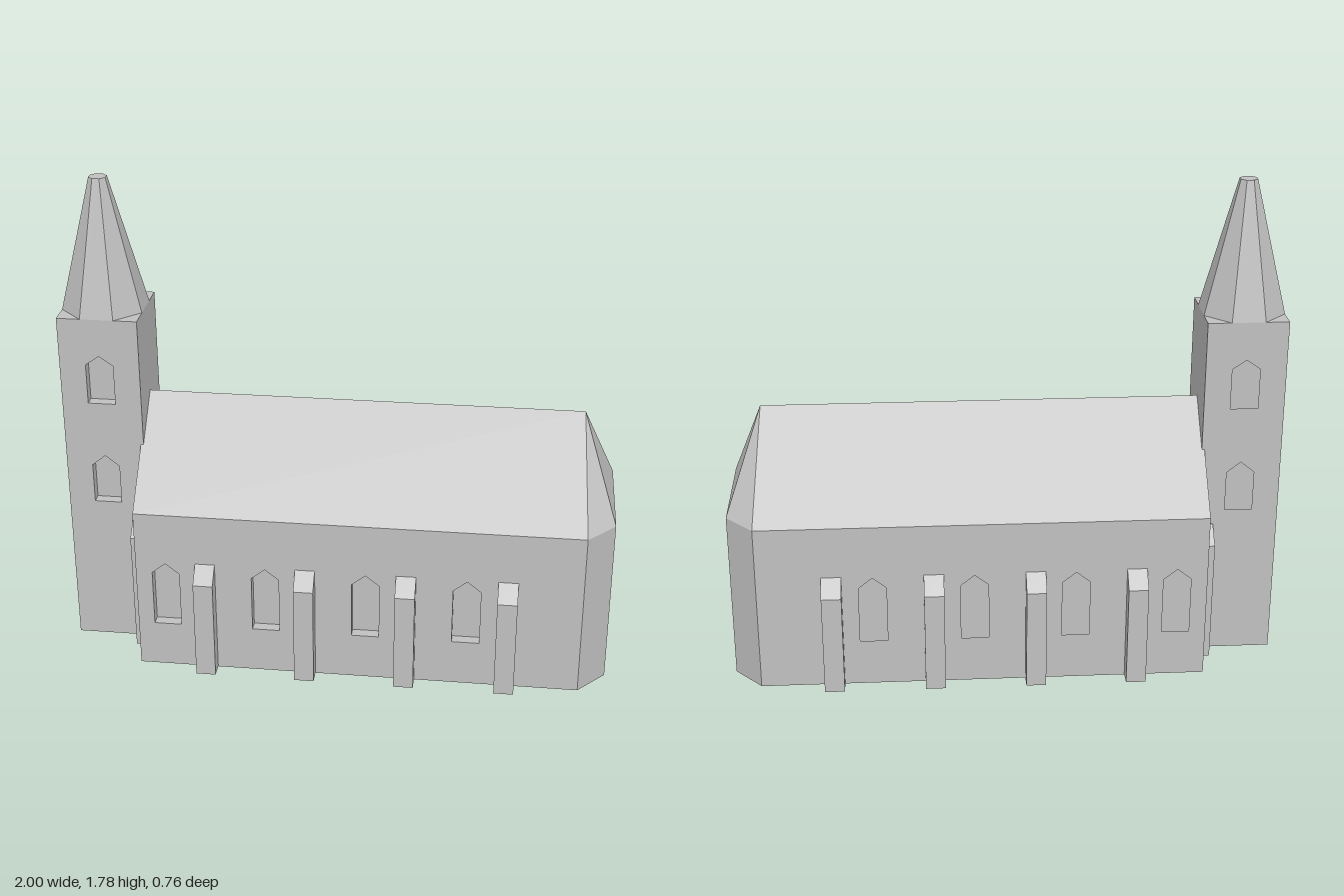
import * as THREE from 'three';
import { ConvexGeometry } from 'three/addons/geometries/ConvexGeometry.js';

const stone = new THREE.MeshStandardMaterial({ color: 0xc0c0c0 });
stone.name = 'pale grey stone';

const REVEAL = 0.04; // depth of window recesses

function mesh(name, geometry) {
  const m = new THREE.Mesh(geometry, stone);
  m.name = name;
  return m;
}

function polygon(points) {
  return new THREE.Shape(points.map(([x, y]) => new THREE.Vector2(x, y)));
}

function extrude(shape, depth) {
  return new THREE.ExtrudeGeometry(shape, { depth, bevelEnabled: false });
}

// Wall slab with pointed openings, each given as [centre, sill, shoulder, peak]
function wall(name, x0, x1, height, openings, side = 1) {
  const shape = polygon([[x0, 0], [x1, 0], [x1, height], [x0, height]].map(([x, y]) => [side * x, y]));
  for (const [c, sill, shoulder, peak] of openings) {
    const x = side * c, h = 0.05;
    shape.holes.push(polygon([[x - h, sill], [x - h, shoulder], [x, peak], [x + h, shoulder], [x + h, sill]]));
  }
  return mesh(name, extrude(shape, REVEAL));
}

// Same slab set on the front (side 1) or back (side -1)
function longWall(name, x0, x1, height, openings, outerZ, side) {
  const m = wall(name, x0, x1, height, openings, side);
  if (side < 0) m.rotation.y = Math.PI;
  m.position.z = side * (outerZ - REVEAL);
  return m;
}

// Pier with a sloped cap, standing out along z
function buttress(name, x, width, innerZ, shoulderZ, outerZ, low, high, side) {
  const profile = polygon([[innerZ, 0], [outerZ, 0], [outerZ, low], [shoulderZ, high], [innerZ, high]]);
  const m = mesh(name, extrude(profile, width));
  m.rotation.y = -side * Math.PI / 2;
  m.position.x = x + side * width / 2;
  return m;
}

function createNave() {
  const nave = new THREE.Group();
  nave.name = 'nave';
  const west = -0.72, bend = 0.9, east = 1, halfZ = 0.325, apseZ = 0.215;
  const eaves = 0.63, ridge = 0.972, inner = halfZ - REVEAL;

  // Core and angled east end in one footprint
  const half = [[west, inner], [bend, inner], [bend, halfZ], [east, apseZ]];
  const footprint = polygon([...half, ...half.map(([x, z]) => [x, -z]).reverse()]);
  const core = mesh('naveCore', extrude(footprint, eaves));
  core.rotation.x = -Math.PI / 2;
  nave.add(core);

  // Hipped roof with a west gable
  const points = [new THREE.Vector3(west, ridge, 0), new THREE.Vector3(0.875, ridge, 0)];
  for (const s of [1, -1]) {
    for (const [x, z] of [[west, halfZ], [bend, halfZ], [east, apseZ]]) {
      points.push(new THREE.Vector3(x, eaves, s * z));
    }
  }
  nave.add(mesh('naveRoof', new ConvexGeometry(points)));

  // Side walls, windows and buttresses
  const windows = [0, 1, 2, 3].map((i) => [-0.61 + i * 0.3655, 0.175, 0.39, 0.43]);
  for (const s of [1, -1]) {
    nave.add(longWall('naveSideWall', west, bend, eaves, windows, halfZ, s));
    for (let i = 0; i < 4; i++) {
      nave.add(buttress('naveButtress', -0.464 + i * 0.3655, 0.072, 0.3, halfZ, 0.38, 0.378, 0.437, s));
    }
  }
  return nave;
}

function createTower() {
  const tower = new THREE.Group();
  tower.name = 'tower';
  const cx = -0.855, r = 0.145, height = 1.3, inner = r - REVEAL;

  // Solid core, plain on the nave side
  const core = mesh('towerCore', new THREE.BoxGeometry(2 * r - REVEAL, height, 2 * inner));
  core.position.set(cx + REVEAL / 2, height / 2, 0);
  tower.add(core);

  const openings = (c) => [[c, 0.575, 0.725, 0.765], [c, 0.975, 1.125, 1.16]];
  for (const s of [1, -1]) {
    tower.add(longWall('towerSideWall', cx - r, cx + r, height, openings(cx), r, s));
    tower.add(buttress('towerButtress', -0.741, 0.046, 0.1, 0.15, 0.21, 0.46, 0.52, s));
  }

  // West wall with the doorway
  const westWall = wall('towerWestWall', -inner, inner, height, [[0, 0.03, 0.23, 0.27], ...openings(0)]);
  westWall.rotation.y = -Math.PI / 2;
  westWall.position.x = cx - inner;
  tower.add(westWall);

  // Truncated eight-sided spire with flat faces
  const k = 1 / Math.cos(Math.PI / 8);
  const geometry = new THREE.CylinderGeometry(0.03 * k, r * k, 0.48, 8).toNonIndexed();
  geometry.computeVertexNormals();
  const spire = mesh('spire', geometry);
  spire.rotation.y = Math.PI / 8;
  spire.position.set(cx, height + 0.24, 0);
  tower.add(spire);
  return tower;
}

export function createModel() {
  const church = new THREE.Group();
  church.name = 'church';
  church.add(createNave(), createTower());
  return church;
}
